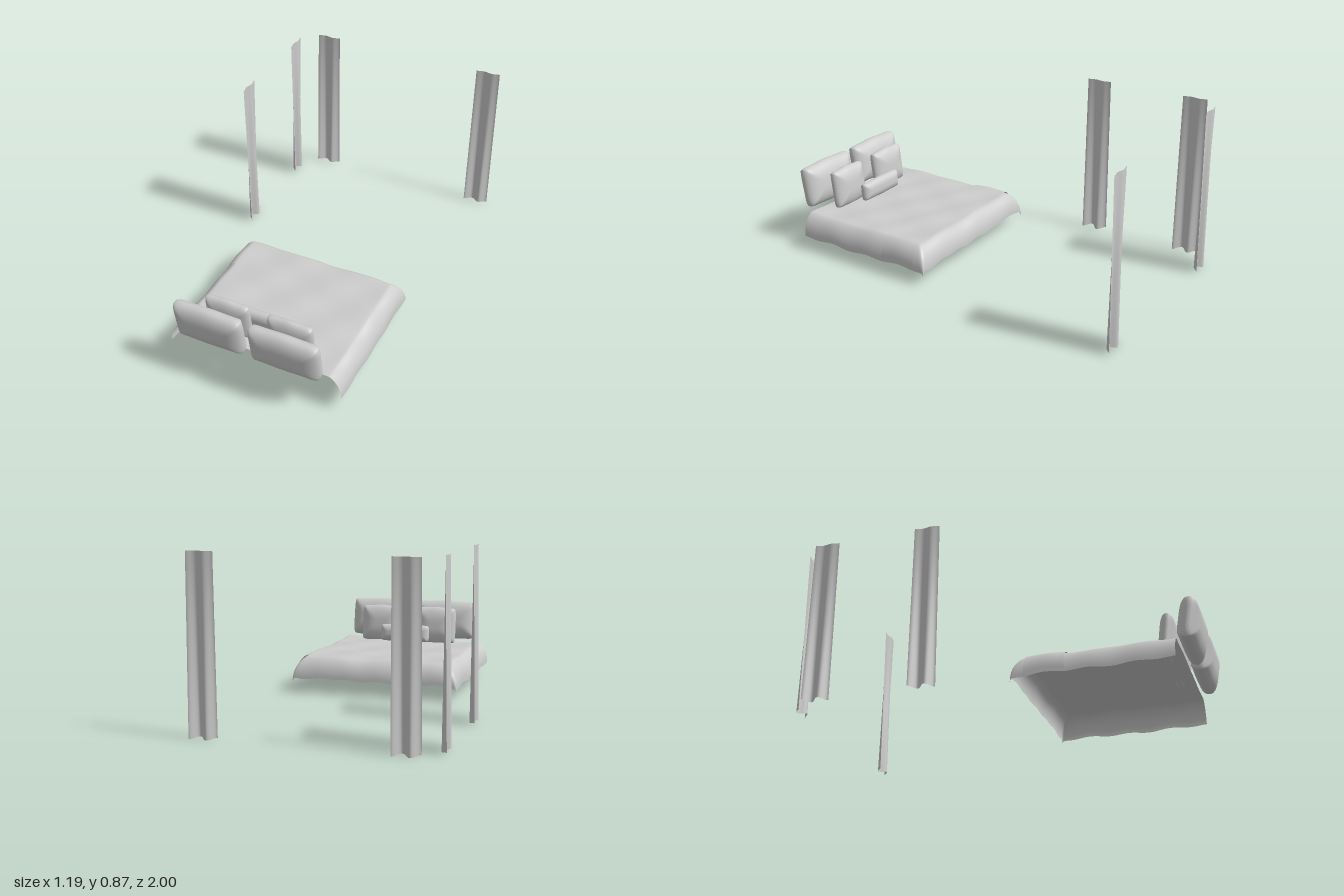
import * as THREE from 'three';
import { mergeGeometries } from 'three/addons/utils/BufferGeometryUtils.js';

const fabric = new THREE.MeshStandardMaterial({ color: 0xcccccc, side: THREE.DoubleSide });
fabric.name = 'pale grey fabric';

// Grid surface: rule(u, v) with u, v in 0..1 returns [x, y, z]
function surface(nu, nv, rule) {
  const geo = new THREE.PlaneGeometry(1, 1, nu, nv);
  const { position, uv } = geo.attributes;
  for (let i = 0; i < position.count; i++) {
    position.setXYZ(i, ...rule(uv.getX(i), uv.getY(i)));
  }
  geo.computeVertexNormals();
  return geo;
}

function addMesh(parent, name, geo) {
  const mesh = new THREE.Mesh(geo, fabric);
  mesh.name = name;
  parent.add(mesh);
  return mesh;
}

// Cloth over the mattress: flat top, flared skirts at both sides and optionally at the foot
function cover({ head, foot, sideDrop, footDrop, lift }) {
  const left = 0.457, right = -0.332, flare = 0.068, band = 0.22;
  const out = (s) => flare * Math.sin(s * Math.PI / 2);
  const fall = (s) => Math.pow(s, 1.6);
  return surface(64, 56, (u, v) => {
    const sx = Math.max(0, band - u, u - (1 - band)) / band;
    const sz = footDrop ? Math.max(0, v - (1 - band)) / band : 0;
    const tx = THREE.MathUtils.clamp((u - band) / (1 - 2 * band), 0, 1);
    const tz = footDrop ? Math.min(1, v / (1 - band)) : v;
    let x = right + (left - right) * tx + (u < 0.5 ? -1 : 1) * out(sx);
    let z = head + (foot - head) * tz - out(sz);
    const drop = Math.cbrt((sideDrop * fall(sx)) ** 3 + (footDrop * fall(sz)) ** 3);
    const ripple = 0.0025 * Math.sin(x * 21 + z * 12) + 0.002 * Math.sin(x * 13 - z * 27 + 1);
    const hem = 0.003 * (Math.sin(x * 38) * sz + Math.sin(z * 30) * sx);
    return [x, 0.192 + lift - drop + ripple + hem, z];
  });
}

// Stuffed cushion: two domed halves meeting at a seam, with creases towards the corners
function cushion(w, h, thick) {
  const half = (side) => surface(36, 26, (u, v) => {
    const a = Math.sin((u - 0.5) * Math.PI), b = Math.sin((v - 0.5) * Math.PI);
    const edge = Math.min(1, Math.min((1 - Math.abs(a)) * w, (1 - Math.abs(b)) * h) / (0.85 * h));
    const dome = Math.sqrt(1 - (1 - edge) ** 2);
    const x = w * a * (1 - 0.05 * b ** 6);
    const y = h * b * (1 - 0.09 * a ** 8 + 0.02 * Math.cos(a * 5));
    return [side * x, y, side * thick * dome];
  });
  return mergeGeometries([half(1), half(-1)]);
}

// Hanging curtain whose folds open out towards the hem
function curtain() {
  return surface(36, 12, (u, v) => {
    const depth = THREE.MathUtils.lerp(0.017, 0.004, v);
    const hem = (1 - v) * 0.004 * (1 + Math.cos(u * Math.PI * 3));
    return [(u - 0.5) * 0.131, 0.865 * v + hem, depth * Math.cos(u * Math.PI * 3)];
  });
}

export function createModel() {
  const model = new THREE.Group();
  model.name = 'bedroomTextiles';

  // Bedding
  addMesh(model, 'blanket', cover({ head: 0.885, foot: 0.16, sideDrop: 0.12, footDrop: 0.112, lift: 0 }));
  addMesh(model, 'throw', cover({ head: 0.357, foot: 0.158, sideDrop: 0.11, footDrop: 0, lift: 0.006 }));

  // Cushions: name, half width, half height, half thickness, position, backward lean
  const cushions = [
    ['rightPillow', 0.183, 0.113, 0.055, [-0.137, 0.311, 0.936], 0.17],
    ['leftPillow', 0.183, 0.113, 0.055, [0.263, 0.311, 0.936], 0.17],
    ['rightCushion', 0.119, 0.106, 0.043, [-0.102, 0.293, 0.815], 0.13],
    ['leftCushion', 0.119, 0.106, 0.043, [0.233, 0.293, 0.815], 0.13],
    ['lumbarCushion', 0.145, 0.05, 0.031, [0.065, 0.25, 0.733], 0.08],
  ];
  for (const [name, w, h, t, at, lean] of cushions) {
    const mesh = addMesh(model, name, cushion(w, h, t));
    mesh.position.set(...at);
    mesh.rotation.x = lean;
  }

  // Curtains: two on the back wall, two on the right wall
  const curtains = [
    ['backCurtainRight', -0.436, -0.983, 0],
    ['backCurtainLeft', 0.53, -0.983, 0],
    ['sideCurtainRear', -0.58, -0.838, -Math.PI / 2],
    ['sideCurtainFront', -0.58, -0.286, -Math.PI / 2],
  ];
  for (const [name, x, z, turn] of curtains) {
    const mesh = addMesh(model, name, curtain());
    mesh.position.set(x, 0, z);
    mesh.rotation.y = turn;
  }
  return model;
}
